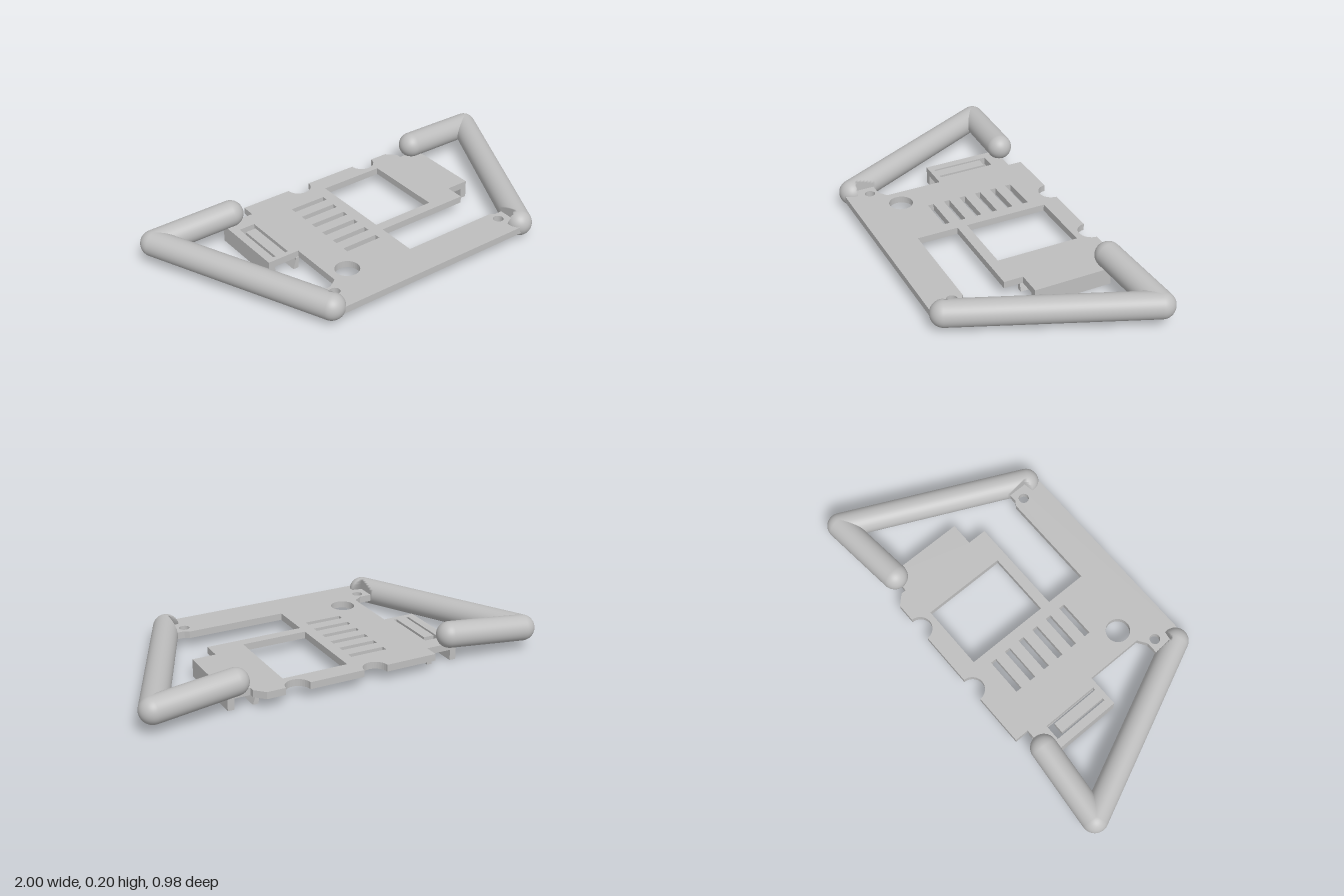
import * as THREE from 'three';

const grey = new THREE.MeshStandardMaterial({ color: 0xbebebe });
grey.name = 'light grey';

const TUBE_R = 0.063;

// Points are given as [x, z]; the shape plane is later laid flat
const toPts = (list) => list.map(([x, z]) => new THREE.Vector2(x, -z));
const rect = (x0, z0, x1, z1) => new THREE.Path(toPts([[x0, z0], [x1, z0], [x1, z1], [x0, z1]]));
const round = (x, z, r) => new THREE.Path().absarc(x, -z, r, 0, Math.PI * 2, true);

// Half-round bite out of the back edge, listed from +x to -x
function notch(cx, cz, r) {
  const pts = [];
  for (let i = 0; i <= 16; i++) {
    const a = (Math.PI * i) / 16;
    pts.push([cx + Math.cos(a) * r, cz + Math.sin(a) * r]);
  }
  return pts;
}

function makePlate() {
  const shape = new THREE.Shape(toPts([
    [-0.535, 0.475], [0.535, 0.475], [0.535, 0.315], [0.495, 0.315], [0.475, 0.3],
    [-0.015, 0.3], [-0.015, 0.095], [0.47, 0.095], [0.47, 0], [0.585, 0],
    [0.585, -0.39], [0.475, -0.39], [0.475, -0.415], [0.43, -0.46],
    ...notch(0.278, -0.46, 0.06), ...notch(-0.113, -0.46, 0.06),
    [-0.43, -0.46], [-0.43, -0.39], [-0.59, -0.39], [-0.59, 0], [-0.43, 0],
    [-0.43, 0.285], [-0.475, 0.315], [-0.535, 0.315],
  ]));
  // Window, round holes and vent slots
  shape.holes.push(rect(-0.015, -0.37, 0.31, 0.045));
  shape.holes.push(round(-0.335, 0.25, 0.058));
  for (const s of [-1, 1]) shape.holes.push(round(0.48 * s, 0.355, 0.025));
  for (let i = 0; i < 6; i++) {
    const z = -0.295 + i * 0.0842;
    shape.holes.push(rect(-0.255, z - 0.015, -0.07, z + 0.015));
  }
  // U-shaped slot that frees the clip tongue
  shape.holes.push(new THREE.Path(toPts([
    [-0.55, -0.31], [-0.47, -0.31], [-0.47, -0.025], [-0.485, -0.025],
    [-0.485, -0.275], [-0.538, -0.275], [-0.538, -0.025], [-0.55, -0.025],
  ])));
  const geo = new THREE.ExtrudeGeometry(shape, { depth: 0.034, bevelEnabled: false, curveSegments: 20 });
  geo.rotateX(-Math.PI / 2).translate(0, 0.053, 0);
  const mesh = new THREE.Mesh(geo, grey);
  mesh.name = 'plate';
  return mesh;
}

// Round-ended bar between two points; clearance flattens its inner side by the screw hole
function makeBar(a, b, name, clearance) {
  const dir = b.clone().sub(a);
  const geo = new THREE.CapsuleGeometry(TUBE_R, dir.length(), 12, 40, clearance ? 60 : 1);
  const q = new THREE.Quaternion().setFromUnitVectors(new THREE.Vector3(0, 1, 0), dir.clone().normalize());
  geo.applyQuaternion(q);
  const mid = a.clone().add(b).multiplyScalar(0.5);
  geo.translate(mid.x, mid.y, mid.z);
  if (clearance) {
    const p = geo.attributes.position, n = geo.attributes.normal, s = Math.sign(a.x);
    for (let i = 0; i < p.count; i++) {
      if (p.getZ(i) > 0.3 && p.getZ(i) < 0.412 && p.getX(i) * s < 0.535) {
        p.setX(i, 0.535 * s);
        n.setXYZ(i, -s, 0, 0);
      }
    }
  }
  const mesh = new THREE.Mesh(geo, grey);
  mesh.name = name;
  return mesh;
}

function makeBox(name, x0, x1, y0, y1, z0, z1) {
  const mesh = new THREE.Mesh(new THREE.BoxGeometry(x1 - x0, y1 - y0, z1 - z0), grey);
  mesh.position.set((x0 + x1) / 2, (y0 + y1) / 2, (z0 + z1) / 2);
  mesh.name = name;
  return mesh;
}

// Tapered inner rail under the plate
function makeHookRail(s) {
  const profile = new THREE.Shape([
    [0.43, 0.056], [0.448, 0.056], [0.448, 0.045], [0.463, 0], [0.436, 0],
  ].map(([x, y]) => new THREE.Vector2(x * s, y)));
  const geo = new THREE.ExtrudeGeometry(profile, { depth: 0.39, bevelEnabled: false });
  geo.translate(0, 0, -0.385);
  const mesh = new THREE.Mesh(geo, grey);
  mesh.name = 'hookRail';
  return mesh;
}

export function createModel() {
  const model = new THREE.Group();
  model.name = 'mountingFrame';
  model.add(makePlate());

  for (const s of [-1, 1]) {
    const side = new THREE.Group();
    side.name = s > 0 ? 'leftSide' : 'rightSide';
    // Bent guard bar
    const front = new THREE.Vector3(0.547 * s, 0.078, 0.425);
    const corner = new THREE.Vector3(0.937 * s, 0.107, -0.427);
    const back = new THREE.Vector3(0.548 * s, 0.135, -0.393);
    side.add(makeBar(front, corner, 'longBar', true));
    side.add(makeBar(corner, back, 'shortBar', false));
    // Rails below the wing
    side.add(makeHookRail(s));
    const outer = s > 0 ? [0.553, 0.585] : [-0.59, -0.558];
    side.add(makeBox('outerRail', ...outer, 0, 0.056, -0.39, 0));
    // Small feet near the front edge
    const fx = 0.348 * s;
    side.add(makeBox('frontPad', fx - 0.028, fx + 0.028, 0.048, 0.055, 0.38, 0.44));
    model.add(side);
  }
  model.add(makeBox('undersidePad', -0.41, -0.31, 0.049, 0.055, -0.25, -0.04));
  return model;
}
